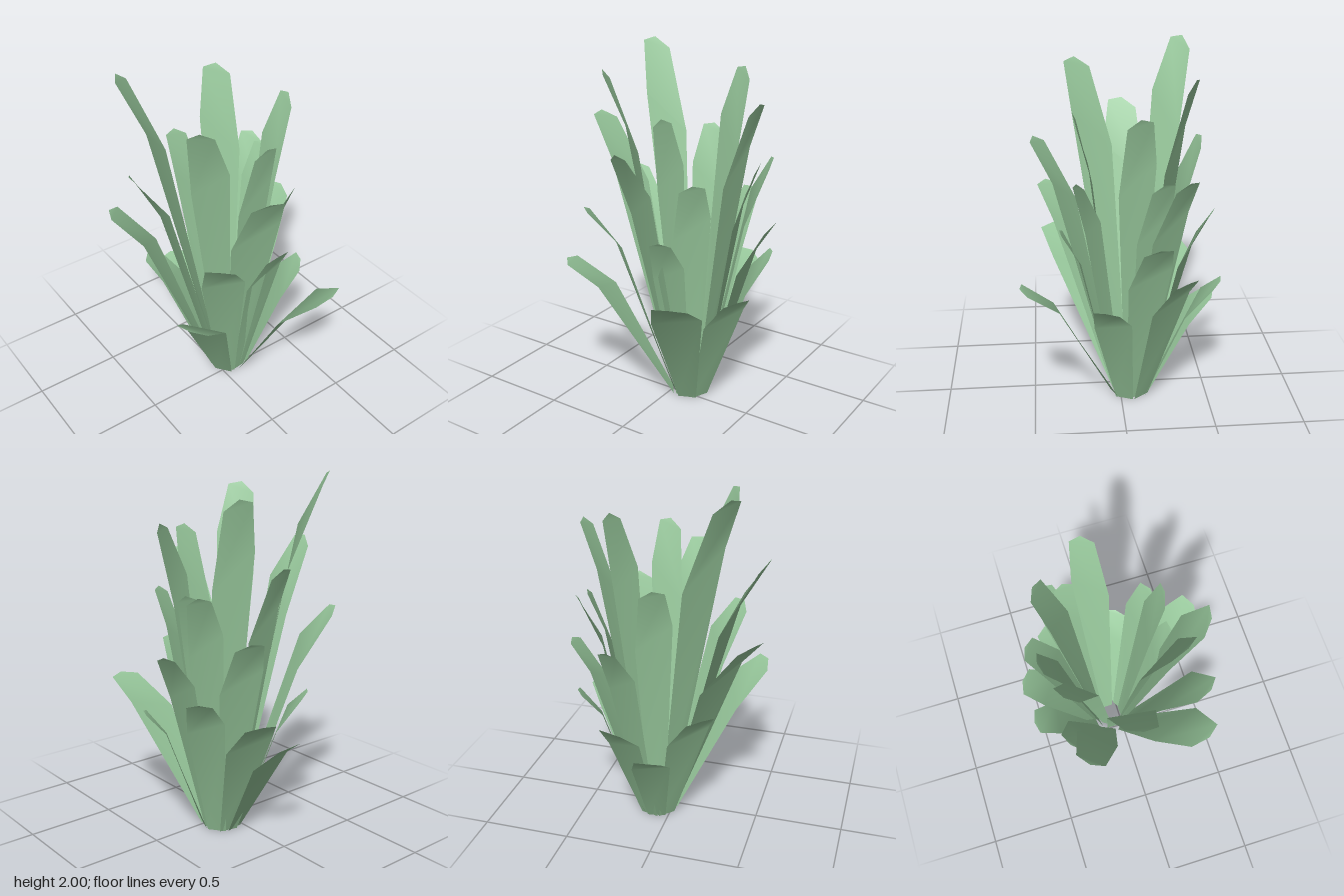
import * as THREE from 'three';

// Heart of the rosette on the ground
const CX = -0.057, CZ = -0.085;

// Tiers from inner to outer, each leaf: [tip x, tip z, tip y, widest width]
const TIERS = [
  { name: 'innerLeaf', radius: 0.065, foot: 0.07, leaves: [
    [-0.388, 0.383, 2.0, 0.21], [0.222, 0.295, 1.91, 0.23], [-0.375, -0.225, 1.89, 0.215],
    [-0.068, -0.485, 1.765, 0.185], [0.25, -0.095, 1.7, 0.185]] },
  { name: 'middleLeaf', radius: 0.08, foot: 0.085, leaves: [
    [-0.06, 0.53, 1.615, 0.235], [0.46, 0.045, 1.54, 0.245], [-0.45, 0.01, 1.53, 0.2],
    [-0.325, -0.445, 1.42, 0.2], [-0.2, -0.43, 1.41, 0.18], [0.243, -0.28, 1.375, 0.2]] },
  { name: 'lowerLeaf', radius: 0.09, foot: 0.095, leaves: [
    [0.4, 0.305, 1.2, 0.24], [-0.335, 0.515, 1.25, 0.24], [-0.483, -0.235, 1.18, 0.22],
    [-0.165, -0.545, 1.1, 0.22], [0.335, -0.135, 1.06, 0.21]] },
  { name: 'outerLeaf', radius: 0.1, foot: 0.105, leaves: [
    [0.365, 0.468, 0.86, 0.28], [-0.39, 0.26, 0.81, 0.23], [-0.55, 0.005, 0.6, 0.22],
    [-0.548, -0.21, 0.755, 0.24], [-0.335, -0.455, 0.87, 0.22], [0.11, -0.492, 0.73, 0.23],
    [0.555, -0.345, 0.82, 0.29]] },
];

// Blade outline: [sideways in widths, fraction of reach, fraction of height].
// Narrow foot, slanted fold at the widest place, lopsided blunt tip.
const FOLD_AND_TIP = [
  [-0.5, 0.55, 0.745], [0.5, 0.71, 0.855],
  [-0.34, 0.91, 0.968], [0.33, 0.99, 0.992],
  [0, 1, 1],
];
const FACES = [0, 1, 3, 0, 3, 2, 2, 3, 5, 2, 5, 4, 4, 5, 6];

function leafGeometry(radius, foot, [tx, tz, ty, width]) {
  const angle = Math.atan2(tz - CZ, tx - CX);
  const reach = Math.hypot(tx - CX, tz - CZ) - radius;
  const c = Math.cos(angle), s = Math.sin(angle);
  const f = foot / width / 2;
  const pos = [];
  for (const [side, out, up] of [[-f, 0, 0], [f, 0, 0], ...FOLD_AND_TIP]) {
    const d = radius + reach * out, w = side * width;
    pos.push(CX + c * d + s * w, ty * up, CZ + s * d - c * w);
  }
  const g = new THREE.BufferGeometry();
  g.setAttribute('position', new THREE.Float32BufferAttribute(pos, 3));
  g.setIndex(FACES);
  g.computeVertexNormals();
  return g;
}

export function createModel() {
  const model = new THREE.Group();
  model.name = 'leafyPlant';
  const green = new THREE.MeshStandardMaterial({ color: 0x9acb9e, side: THREE.DoubleSide });
  for (const { name, radius, foot, leaves } of TIERS) {
    const tier = new THREE.Group();
    tier.name = name + 'Tier';
    leaves.forEach((leaf, i) => {
      const mesh = new THREE.Mesh(leafGeometry(radius, foot, leaf), green);
      mesh.name = name + (i + 1);
      tier.add(mesh);
    });
    model.add(tier);
  }
  return model;
}
